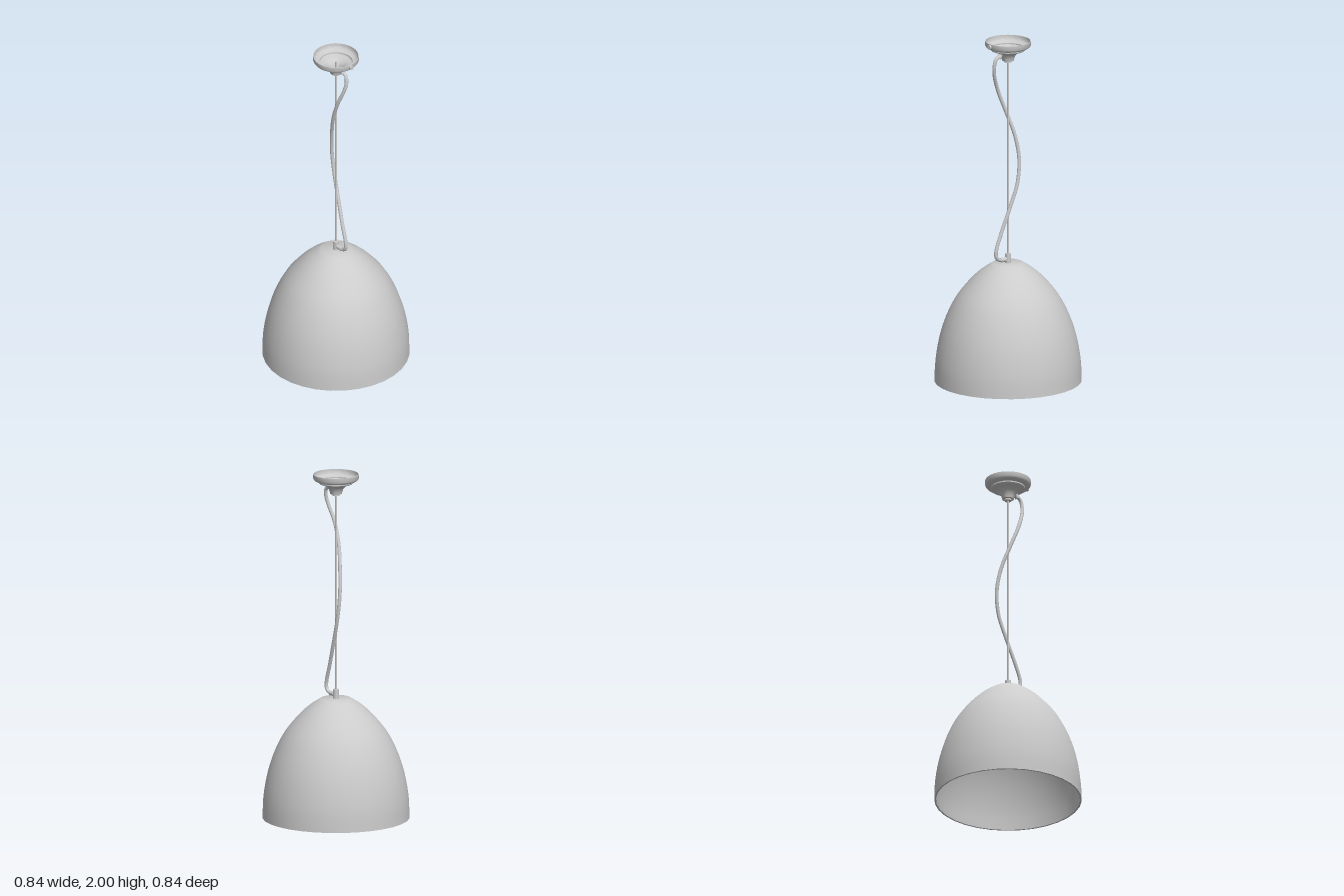
import * as THREE from 'three';
import { toCreasedNormals } from 'three/addons/utils/BufferGeometryUtils.js';

const material = new THREE.MeshStandardMaterial({ color: 0xcccccc, side: THREE.DoubleSide });

export function createModel() {
  const model = new THREE.Group();
  model.name = 'pendantLamp';

  function add(name, geometry, x = 0, y = 0, z = 0) {
    const mesh = new THREE.Mesh(geometry, material);
    mesh.name = name;
    mesh.position.set(x, y, z);
    model.add(mesh);
    return mesh;
  }
  const lathe = (points, sides) => toCreasedNormals(
    new THREE.LatheGeometry(points.map(([r, y]) => new THREE.Vector2(r, y)), sides), 0.6);
  const cylinder = (r, h, sides = 20) => toCreasedNormals(new THREE.CylinderGeometry(r, r, h, sides), 0.6);
  const curve = (points) => new THREE.CatmullRomCurve3(points.map((p) => new THREE.Vector3(...p)));

  // Bell shade: a smooth dome with a thin wall and a flat top
  const dome = curve([
    [0.42, 0, 0], [0.416, 0.1, 0], [0.402, 0.2, 0], [0.378, 0.3, 0], [0.341, 0.4, 0],
    [0.288, 0.5, 0], [0.21, 0.595, 0], [0.15, 0.65, 0], [0.088, 0.692, 0],
  ]).getPoints(24).map((p) => [p.x, p.y]);
  const inside = dome.map(([r, y]) => [r - 0.01, y * 0.985]).reverse();
  add('shade', lathe([[0, 0.682], ...inside, ...dome, [0, 0.692]], 32));

  // Ceiling canopy: hollow stepped cup, open at the top
  const cup = [
    [0.033, 1.885], [0.036, 1.897], [0.041, 1.912], [0.051, 1.925], [0.066, 1.936],
    [0.082, 1.942], [0.094, 1.945], [0.098, 1.95], [0.098, 1.957],
    [0.113, 1.96], [0.124, 1.966], [0.13, 1.975], [0.13, 2],
  ];
  const lining = cup.map(([r, y]) => [r - 0.004, Math.min(2, y + 0.004)]).reverse();
  add('canopy', lathe([...lining, [0, 1.889], [0, 1.885], ...cup, lining[0]], 48));

  // Side screw on the canopy rim
  add('canopyScrew', cylinder(0.013, 0.012), 0.134, 1.985).rotation.z = Math.PI / 2;

  // Suspension wire with its end fittings
  add('suspensionWire', cylinder(0.005, 1.25, 12), 0, 1.335);
  add('wireStop', cylinder(0.017, 0.016), 0, 1.893);
  add('wireGland', cylinder(0.02, 0.012), 0, 1.88);
  add('shadePost', cylinder(0.017, 0.055), 0, 0.718);
  add('cableSocket', cylinder(0.013, 0.035), 0.034, 0.714).rotation.z = Math.PI / 2;

  // Loose power cable winding around the wire
  const path = curve([
    [0.035, 0.714, 0], [0.062, 0.717, 0], [0.083, 0.733, 0], [0.086, 0.77, 0],
    [0.05, 0.88, -0.005], [0.003, 1.01, -0.017], [-0.046, 1.16, -0.028],
    [-0.062, 1.3, -0.023], [-0.044, 1.44, -0.006], [0.003, 1.59, 0.022],
    [0.05, 1.71, 0.03], [0.088, 1.81, 0.014], [0.096, 1.86, 0.004],
    [0.088, 1.9, 0], [0.067, 1.918, 0], [0.053, 1.928, 0], [0.05, 1.94, 0],
  ]);
  add('powerCable', new THREE.TubeGeometry(path, 120, 0.0105, 12));
  add('cableGrip', cylinder(0.014, 0.03), 0.058, 1.921).rotation.z = 0.6;

  return model;
}
